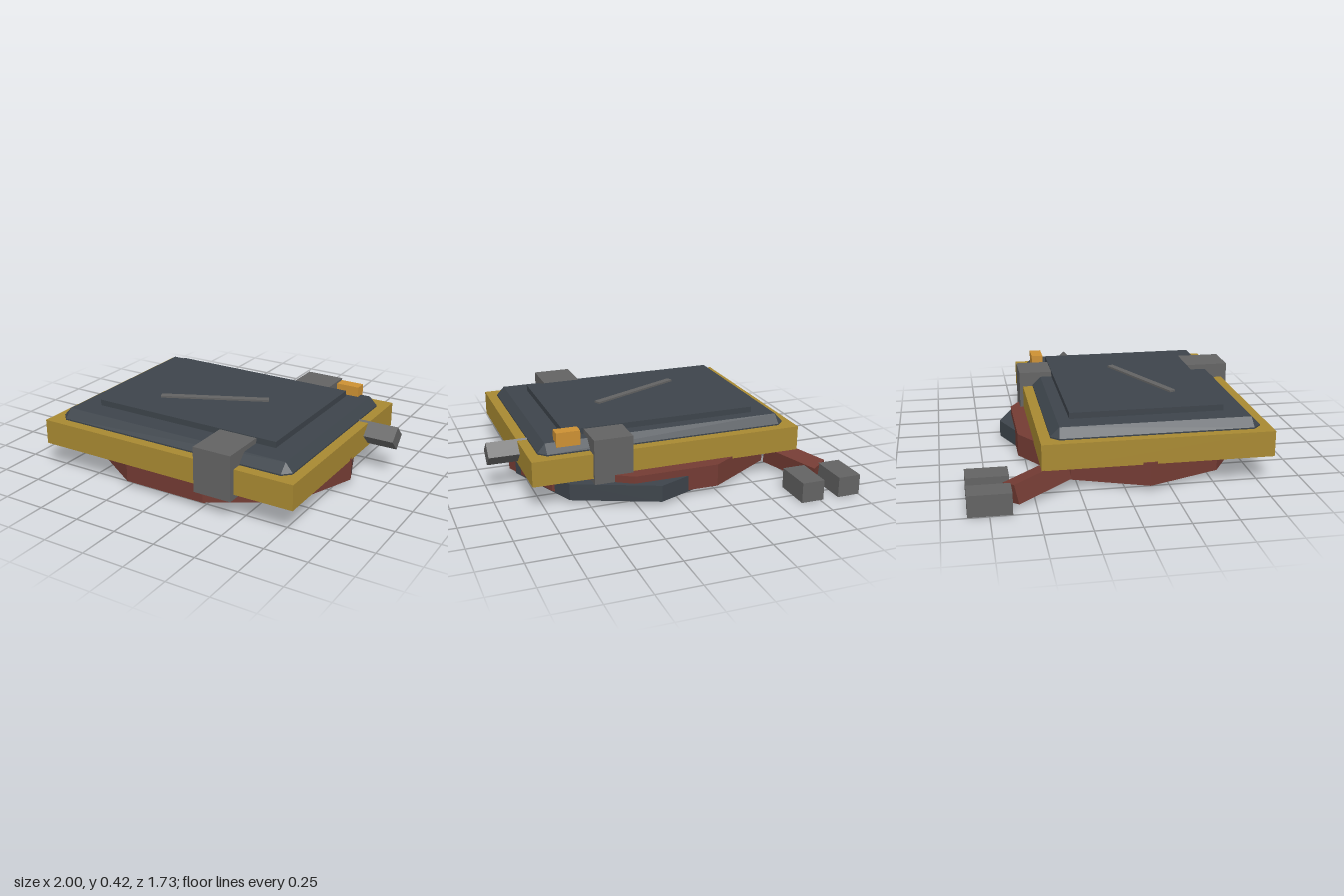
import * as THREE from 'three';
import { ConvexGeometry } from 'three/addons/geometries/ConvexGeometry.js';

const mat = (name, color) => {
  const m = new THREE.MeshStandardMaterial({ color, flatShading: true });
  m.name = name;
  return m;
};

export function createModel() {
  const brass = mat('brass', 0xa88932);
  const slate = mat('slate', 0x3d444b);
  const grey = mat('grey', 0x636363);
  const rust = mat('rust', 0x733b33);
  const amber = mat('amber', 0xcc9033);
  const model = new THREE.Group();

  const add = (name, geometry, material) => {
    const mesh = new THREE.Mesh(geometry, material);
    mesh.name = name;
    model.add(mesh);
    return mesh;
  };
  // Box given by its extents on each axis
  const box = (name, material, [x0, x1], [y0, y1], [z0, z1]) => {
    const mesh = add(name, new THREE.BoxGeometry(x1 - x0, y1 - y0, z1 - z0), material);
    mesh.position.set((x0 + x1) / 2, (y0 + y1) / 2, (z0 + z1) / 2);
    return mesh;
  };
  // Flat polygonal ring with a rectangular section
  const ring = (name, material, sides, rx, rz, wall, [cx, cz], [y0, y1]) => {
    const loop = (inset) => Array.from({ length: sides }, (_, i) => {
      const a = (i / sides) * Math.PI * 2;
      return new THREE.Vector2(Math.cos(a) * (rx - inset), Math.sin(a) * (rz - inset));
    });
    const shape = new THREE.Shape(loop(0));
    shape.holes.push(new THREE.Path(loop(wall)));
    const geometry = new THREE.ExtrudeGeometry(shape, { depth: y1 - y0, bevelEnabled: false });
    geometry.rotateX(-Math.PI / 2);
    add(name, geometry, material).position.set(cx, y0, cz);
  };

  // Main slab
  box('slab', brass, [-0.81, 0.82], [0.15, 0.297], [-0.46, 0.83]);

  // Bevelled cover: bottom outline with cut corners, plain rectangle on top
  const points = [];
  for (const sx of [-1, 1]) {
    for (const sz of [-1, 1]) {
      for (const y of [0.29, 0.305]) {
        points.push(new THREE.Vector3(sx * 0.758, y, 0.185 + sz * 0.54));
        points.push(new THREE.Vector3(sx * 0.713, y, 0.185 + sz * 0.585));
      }
      points.push(new THREE.Vector3(sx * 0.713, 0.355, 0.185 + sz * 0.535));
    }
  }
  add('cover', new ConvexGeometry(points), slate).position.x = 0.003;
  box('raisedPanel', slate, [-0.585, 0.59], [0.35, 0.39], [-0.28, 0.595]);

  // Slanted bar on the panel
  const bar = box('slantedBar', grey, [-0.34, 0.3], [0.37, 0.401], [0.215, 0.255]);
  bar.rotation.y = 0.43;

  // Strap through the body, side knob and small button
  box('strap', grey, [0.24, 0.47], [0.12, 0.385], [-0.48, 0.863]);
  const knob = box('knob', grey, [0.7, 1.0], [0.188, 0.286], [-0.153, -0.055]);
  knob.rotation.x = Math.PI / 4;
  box('button', amber, [0.517, 0.657], [0.29, 0.415], [-0.375, -0.305]);

  // Two overlapping loops under the slab
  ring('outerLoop', rust, 10, 0.825, 0.705, 0.12, [0, 0.13], [0.03, 0.163]);
  ring('innerLoop', slate, 8, 0.68, 0.68, 0.1, [0.12, 0.06], [0.022, 0.12]);

  // Slanted lead ending near the two prongs
  const from = new THREE.Vector3(-0.69, 0.11, -0.33);
  const to = new THREE.Vector3(-0.87, 0.062, -0.63);
  const lead = add('lead', new THREE.BoxGeometry(0.11, 0.11, from.distanceTo(to)), rust);
  lead.position.copy(from).lerp(to, 0.5);
  lead.lookAt(to);
  lead.rotateZ(0.2);
  for (const x of [-0.932, -0.7]) {
    box('prong', grey, [x - 0.068, x + 0.068], [0, 0.12], [-0.865, -0.63]);
  }
  return model;
}
